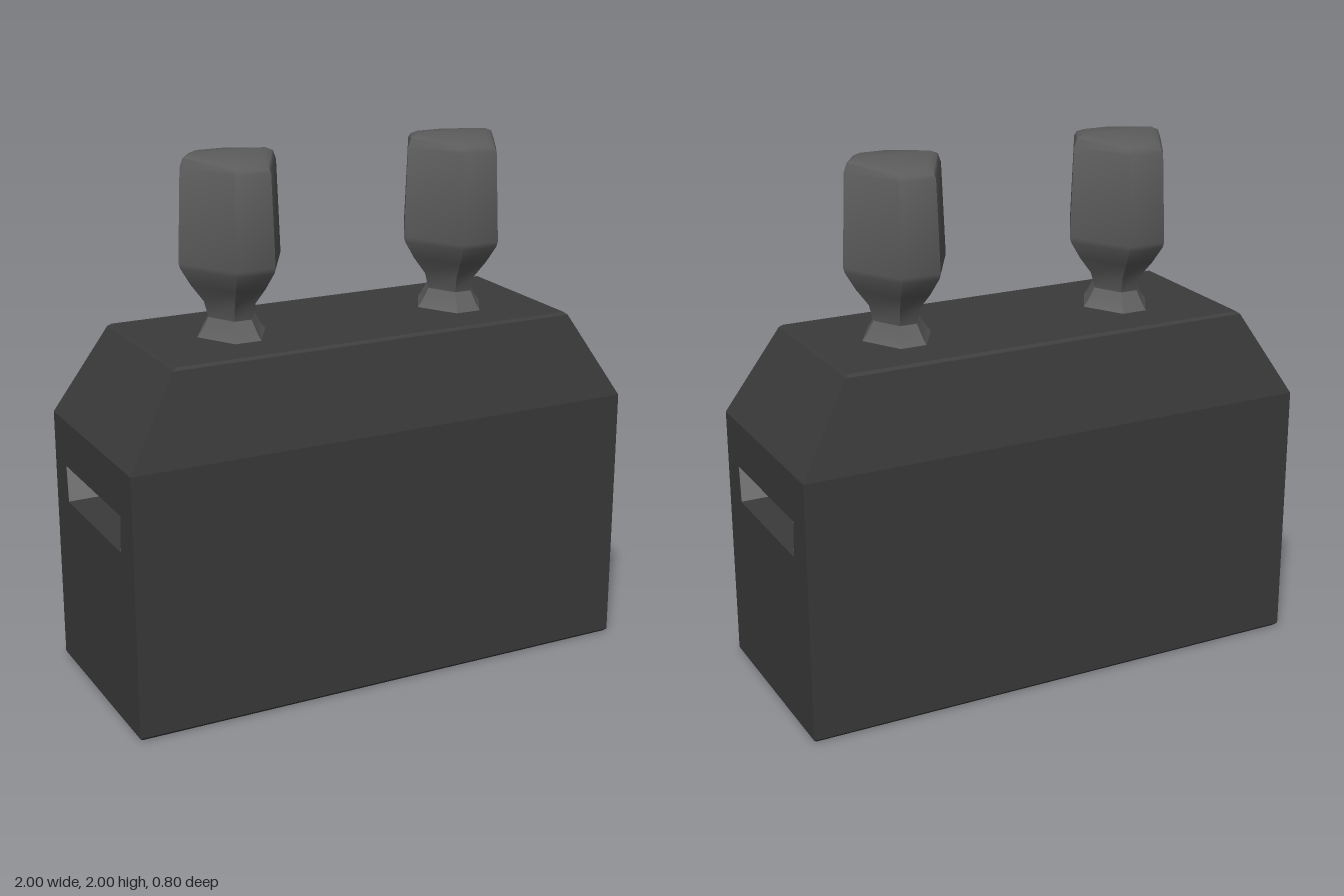
import * as THREE from 'three';
import { toCreasedNormals } from 'three/addons/utils/BufferGeometryUtils.js';

// Skin a stack of rings (listed bottom to top) and close both ends
function loft(rings, crease) {
  const pos = [];
  const tri = (...pts) => pts.forEach((p) => pos.push(...p));
  const n = rings[0].length;
  for (let r = 0; r < rings.length - 1; r++) {
    const a = rings[r], b = rings[r + 1];
    for (let i = 0; i < n; i++) {
      const j = (i + 1) % n;
      tri(a[i], b[i], a[j]);
      tri(a[j], b[i], b[j]);
    }
  }
  const low = rings[0], high = rings[rings.length - 1];
  for (let i = 0; i < n; i++) {
    const j = (i + 1) % n;
    tri([0, low[0][1], 0], low[i], low[j]);
    tri([0, high[0][1], 0], high[j], high[i]);
  }
  const g = new THREE.BufferGeometry();
  g.setAttribute('position', new THREE.Float32BufferAttribute(pos, 3));
  return toCreasedNormals(g, crease);
}

const rectRing = ([x, z, y]) => [[x, y, -z], [x, y, z], [-x, y, z], [-x, y, -z]];

// Stretched hexagon pointing along x; its flat sides may sit lower by "drop"
const hexRing = ([x, z, y, drop = 0]) => {
  const f = x * 0.37, d = y - drop;
  return [[x, y, 0], [f, d, z], [-f, d, z], [-x, y, 0], [-f, d, -z], [f, d, -z]];
};

function polygon(points, Type) {
  return new Type(points.map(([x, y]) => new THREE.Vector2(x, y)));
}

export function createModel() {
  const model = new THREE.Group();
  const bodyGrey = new THREE.MeshStandardMaterial({ color: 0x3a3a3a });
  bodyGrey.name = 'charcoal';
  const knobGrey = new THREE.MeshStandardMaterial({ color: 0x5c5c5c });
  knobGrey.name = 'mid grey';
  const slotGrey = new THREE.MeshStandardMaterial({ color: 0x7c7c7c });
  slotGrey.name = 'light grey';

  const add = (name, geometry, material, parent = model) => {
    const mesh = new THREE.Mesh(geometry, material);
    mesh.name = name;
    parent.add(mesh);
    return mesh;
  };

  // Main block with a slot running from end to end
  const section = polygon([[-0.4, 0.012], [0.4, 0.012], [0.4, 1], [-0.4, 1]], THREE.Shape);
  section.holes.push(polygon([[-0.275, 0.68], [-0.285, 0.82], [0.285, 0.82], [0.275, 0.68]], THREE.Path));
  const block = new THREE.ExtrudeGeometry(section, { depth: 2, bevelEnabled: false });
  block.rotateY(Math.PI / 2).translate(-1, 0, 0);
  add('body', block, bodyGrey);

  // Softened bottom edge and chamfered shoulders
  add('base', loft([[0.988, 0.388, 0], [1, 0.4, 0.012]].map(rectRing), 0.3), bodyGrey);
  add('shoulders', loft([[1, 0.4, 1], [0.803, 0.323, 1.325], [0.79, 0.312, 1.335]].map(rectRing), 0.3), bodyGrey);

  // Pale side walls inside the slot
  for (const s of [-1, 1]) {
    const wall = add('slotWall', new THREE.BoxGeometry(1.998, 0.138, 0.004), slotGrey);
    wall.position.set(0, 0.75, s * 0.279);
    wall.rotation.x = s * 0.071;
  }

  // Two hexagonal knobs on flared necks with crowned tops
  const knob = loft([
    [0.14, 0.152, 1.33], [0.118, 0.135, 1.355], [0.09, 0.105, 1.405],
    [0.106, 0.122, 1.465], [0.155, 0.175, 1.53], [0.194, 0.22, 1.595], [0.2, 0.226, 1.615],
    [0.186, 0.209, 1.955, 0.005], [0.174, 0.2, 1.988, 0.022], [0.145, 0.165, 2, 0.02],
  ].map(hexRing), 0.6);
  for (const [name, x] of [['rightKnob', -0.443], ['leftKnob', 0.47]]) {
    add(name, knob, knobGrey).position.x = x;
  }

  return model;
}
